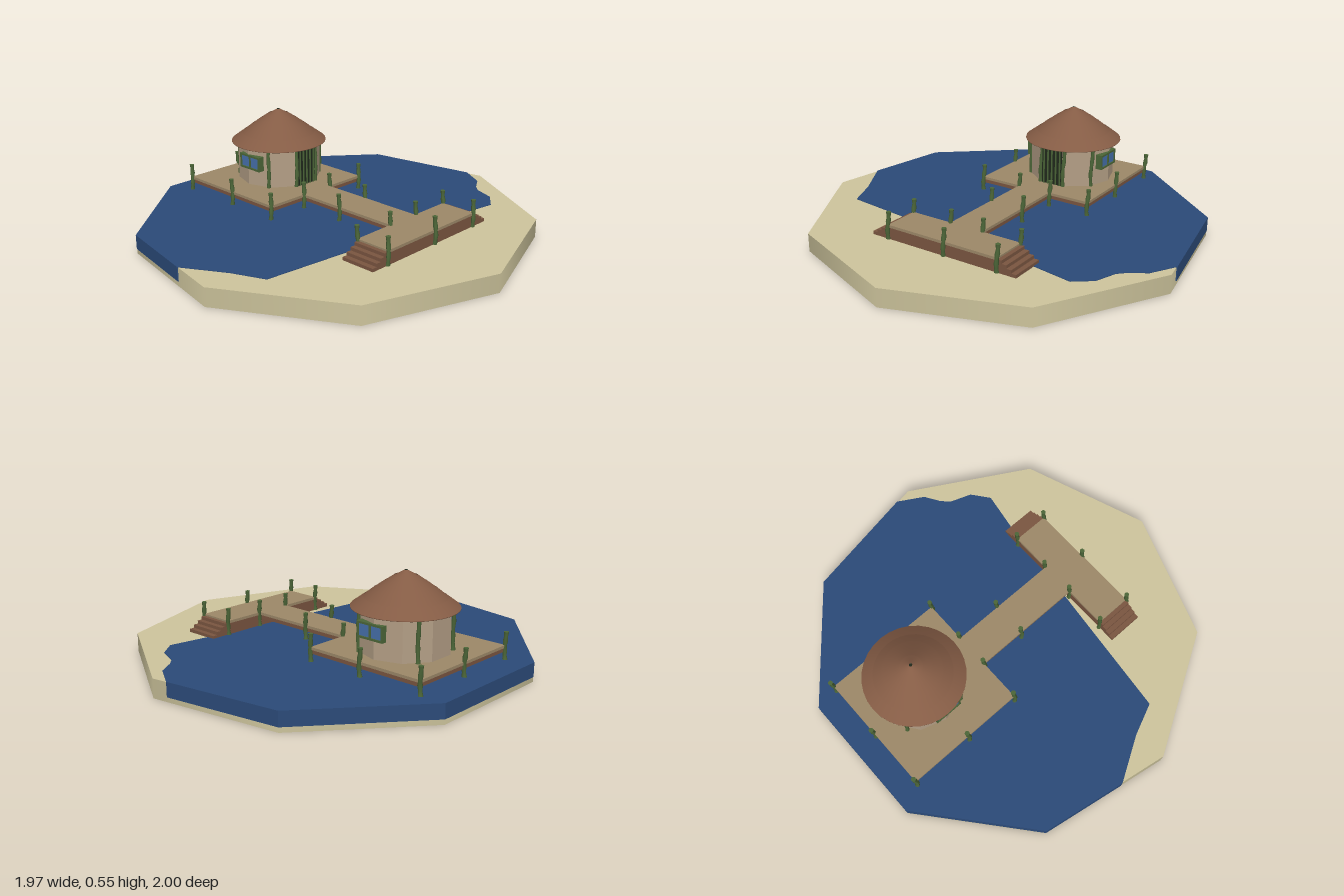
import * as THREE from 'three';

const mat = (color, extra = {}) => new THREE.MeshStandardMaterial({ color, ...extra });
const SAND = mat(0xcdc49c), WATER = mat(0x2b4a78), PLANK = mat(0x9c8868), WOOD = mat(0x7a5540),
  BAMBOO = mat(0x4c6638), WALL = mat(0xb39e85, { flatShading: true }), GLASS = mat(0x4670ab),
  DARK = mat(0x20291c), ROOF = mat(0x855c45, { side: THREE.DoubleSide });

function add(parent, name, geometry, material, x = 0, y = 0, z = 0) {
  const mesh = new THREE.Mesh(geometry, material);
  mesh.name = name;
  mesh.position.set(x, y, z);
  parent.add(mesh);
  return mesh;
}

// Box given by its limits on each axis
function block(parent, name, material, x0, x1, y0, y1, z0, z1) {
  return add(parent, name, new THREE.BoxGeometry(x1 - x0, y1 - y0, z1 - z0), material,
    (x0 + x1) / 2, (y0 + y1) / 2, (z0 + z1) / 2);
}

// Slightly crooked bamboo pole standing on its origin
function poleGeometry(height, radius) {
  const g = new THREE.CylinderGeometry(radius, radius, height, 7, 6);
  g.translate(0, height / 2, 0);
  const p = g.attributes.position;
  for (let i = 0; i < p.count; i++) {
    const t = p.getY(i) / height;
    const swell = 1 + 0.15 * Math.cos(t * Math.PI * 6);
    p.setX(i, p.getX(i) * swell + 0.004 * Math.sin(t * 5));
    p.setZ(i, p.getZ(i) * swell + 0.003 * Math.sin(t * 4 + 1));
  }
  g.computeVertexNormals();
  return g;
}

function buildIsland(parent) {
  const R = 1.013, cx = -0.03, top = 0.095;
  add(parent, 'sandBase', new THREE.CylinderGeometry(R, R, top, 9, 1, false, Math.PI / 2), SAND, cx, top / 2, 0);
  // Water follows the island rim on the left and an irregular shoreline on the right
  const rim = [80, 120, 160, 200, 240, 280].map(d => {
    const a = THREE.MathUtils.degToRad(d);
    return [cx + Math.cos(a) * R * 1.002, Math.sin(a) * R * 1.002];
  }).slice(1, 5);
  const shore = [[0.06, -0.987], [0.19, -0.91], [0.24, -0.83], [0.28, -0.79], [0.39, -0.75], [0.46, -0.66],
    [0.42, -0.42], [0.385, -0.1], [0.36, 0.1], [0.285, 0.76], [0.12, 0.83], [-0.1, 0.958]];
  const shape = new THREE.Shape([...rim, ...shore].map(([x, z]) => new THREE.Vector2(x, -z)));
  const g = new THREE.ExtrudeGeometry(shape, { depth: 0.073, bevelEnabled: false });
  g.rotateX(-Math.PI / 2);
  add(parent, 'water', g, WATER, 0, 0.025, 0);
}

function buildDeck(parent) {
  // Plank floors on darker beams: platform, walkway
  for (const [name, x0, x1, z0, z1] of [['platform', -0.86, -0.215, -0.36, 0.285], ['walkway', -0.215, 0.38, -0.13, 0.055]]) {
    block(parent, name + 'Floor', PLANK, x0, x1, 0.156, 0.17, z0, z1);
    block(parent, name + 'Beams', WOOD, x0 + 0.004, x1 - 0.004, 0.136, 0.156, z0 + 0.004, z1 - 0.004);
  }
  // Landing pier with steps at both ends
  block(parent, 'landingFloor', PLANK, 0.38, 0.57, 0.156, 0.17, -0.35, 0.285);
  for (let i = 0; i < 4; i++) {
    const out = 0.1 - i * 0.026, y = 0.095 + i * 0.0165;
    block(parent, 'step', WOOD, 0.382, 0.568, y, y + 0.0165, -0.35 - out, 0.285 + out);
  }
  // Railing posts
  const pole = poleGeometry(0.14, 0.011);
  const posts = [[-0.86, -0.36], [-0.52, -0.36], [-0.215, -0.36], [-0.86, -0.04], [-0.86, 0.285], [-0.52, 0.285],
    [-0.215, 0.285], [-0.215, -0.135], [0.04, -0.135], [0.38, -0.135], [-0.215, 0.055], [0.04, 0.055],
    [0.38, 0.055], [0.38, -0.35], [0.57, -0.35], [0.57, -0.05], [0.57, 0.285], [0.38, 0.285]];
  posts.forEach(([x, z], i) => { add(parent, 'railPost', pole, BAMBOO, x, 0.097, z).rotation.y = i % 2 ? 0.4 : 0; });
}

function buildHut(parent) {
  const hut = new THREE.Group();
  hut.name = 'hut';
  hut.position.set(-0.545, 0.17, -0.075);
  parent.add(hut);
  const R = 0.222;
  add(hut, 'wall', new THREE.CylinderGeometry(R, R, 0.22, 10), WALL, 0, 0.11, 0);

  // Wall poles
  const pole = poleGeometry(0.205, 0.01);
  for (const d of [18, 57, 144, -18, -57, -144]) {
    const a = THREE.MathUtils.degToRad(d);
    add(hut, 'wallPole', pole, BAMBOO, Math.cos(a) * R, 0, Math.sin(a) * R);
  }

  // Barred door towards the walkway
  block(hut, 'door', DARK, 0.19, 0.216, 0, 0.2, -0.06, 0.06);
  const bar = new THREE.CylinderGeometry(0.005, 0.005, 0.2, 6);
  for (let i = -2; i <= 2; i++) add(hut, 'doorBar', bar, BAMBOO, 0.217, 0.1, i * 0.024);

  // Two-pane windows at front and back
  for (const s of [1, -1]) {
    const win = new THREE.Group();
    win.name = 'window';
    win.position.set(0.018, 0.128, s * 0.213);
    hut.add(win);
    block(win, 'glass', GLASS, -0.068, 0.068, -0.032, 0.032, -0.012, 0.012);
    for (const y of [-0.034, 0.034]) block(win, 'frameRail', BAMBOO, -0.075, 0.075, y - 0.005, y + 0.005, -0.018, 0.018);
    for (const x of [-0.07, 0, 0.07]) block(win, 'frameStile', BAMBOO, x - 0.005, x + 0.005, -0.034, 0.034, -0.017, 0.017);
  }

  // Thatched roof of overlapping conical tiers
  const tiers = [[0.255, 0.203, 0.195, 0.25], [0.206, 0.236, 0.148, 0.286], [0.16, 0.273, 0.1, 0.32],
    [0.112, 0.308, 0.055, 0.35], [0.066, 0.338, 0.008, 0.374]];
  for (const [r0, y0, r1, y1] of tiers) {
    const pts = [[r0 - 0.03, y0 + 0.008], [r0, y0], [r0, y0 + 0.003], [r1, y1]];
    add(hut, 'roofTier', new THREE.LatheGeometry(pts.map(p => new THREE.Vector2(...p)), 32), ROOF);
  }
  add(hut, 'roofTip', new THREE.CylinderGeometry(0.008, 0.01, 0.01, 8), DARK, 0, 0.37, 0);
}

export function createModel() {
  const model = new THREE.Group();
  model.name = 'waterHut';
  buildIsland(model);
  buildDeck(model);
  buildHut(model);
  return model;
}
